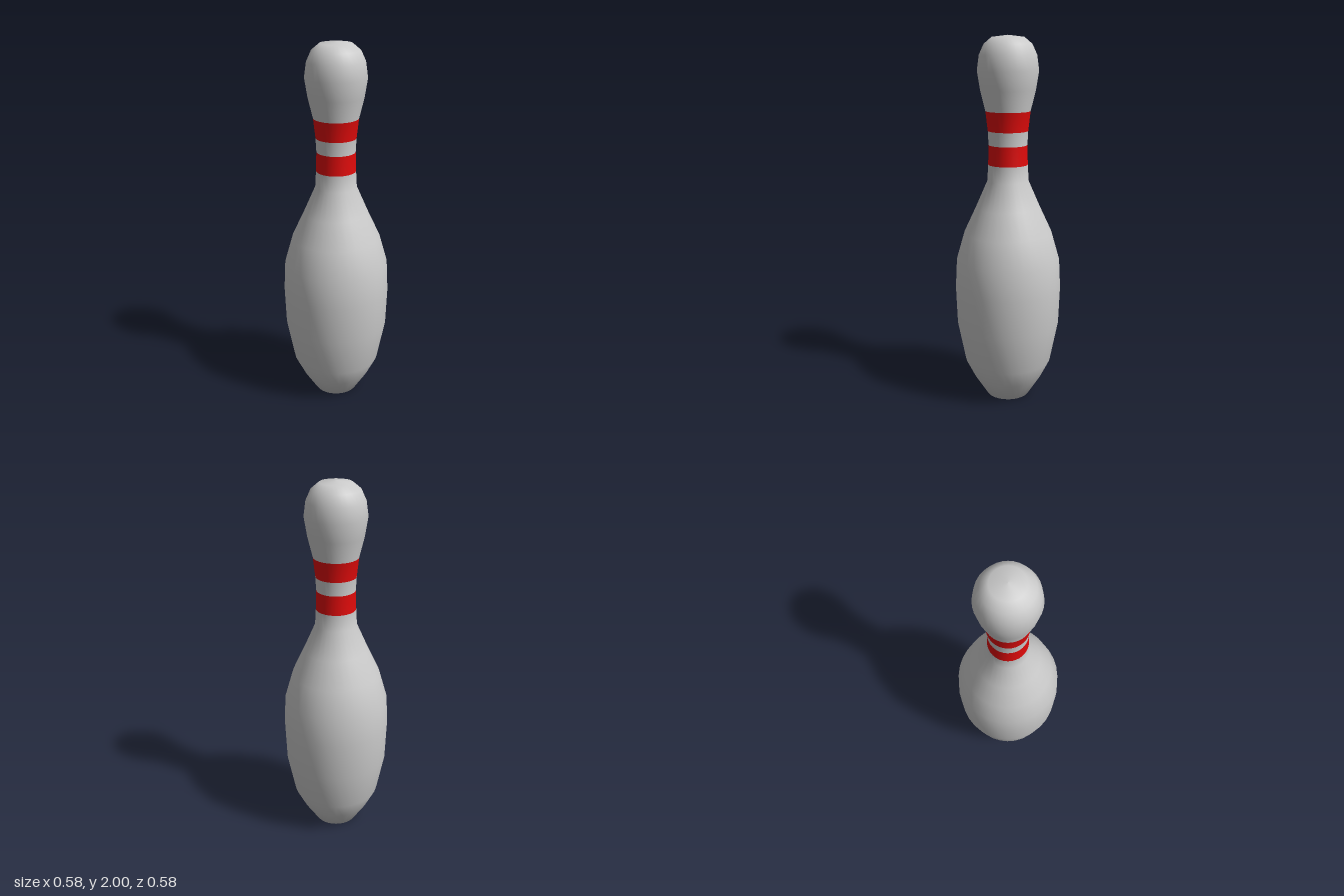
import * as THREE from 'three';

// Outline of the pin as [radius, height], from the base centre to the crown
const PROFILE = [
  [0, 0], [0.12, 0], [0.19, 0.11], [0.24, 0.21], [0.283, 0.43], [0.291, 0.64],
  [0.283, 0.8], [0.24, 0.95], [0.175, 1.09], [0.112, 1.235],
  [0.107, 1.325], [0.104, 1.43], [0.108, 1.505], [0.12, 1.61],
  [0.147, 1.72], [0.163, 1.82], [0.152, 1.9], [0.127, 1.955], [0.085, 1.99], [0, 2],
];

// Parts as ranges of profile points, so normals stay continuous across the joints
const PARTS = [
  ['body', 0, 10, 0xcccccc],
  ['lowerStripe', 10, 11, 0xe00b0b],
  ['neckBand', 11, 12, 0xcccccc],
  ['upperStripe', 12, 13, 0xe00b0b],
  ['head', 13, 19, 0xcccccc],
];

export function createModel() {
  const pin = new THREE.Group();
  pin.name = 'bowlingPin';

  const lathe = new THREE.LatheGeometry(PROFILE.map(([r, y]) => new THREE.Vector2(r, y)), 32);
  const faces = Array.from(lathe.index.array);
  const rows = PROFILE.length - 1;

  for (const [name, from, to, color] of PARTS) {
    // Keep only the quads lying between the two profile points
    const part = lathe.clone();
    part.setIndex(faces.filter((_, k) => {
      const row = Math.floor(k / 6) % rows;
      return row >= from && row < to;
    }));
    const mesh = new THREE.Mesh(part, new THREE.MeshStandardMaterial({ color }));
    mesh.name = name;
    pin.add(mesh);
  }
  return pin;
}
